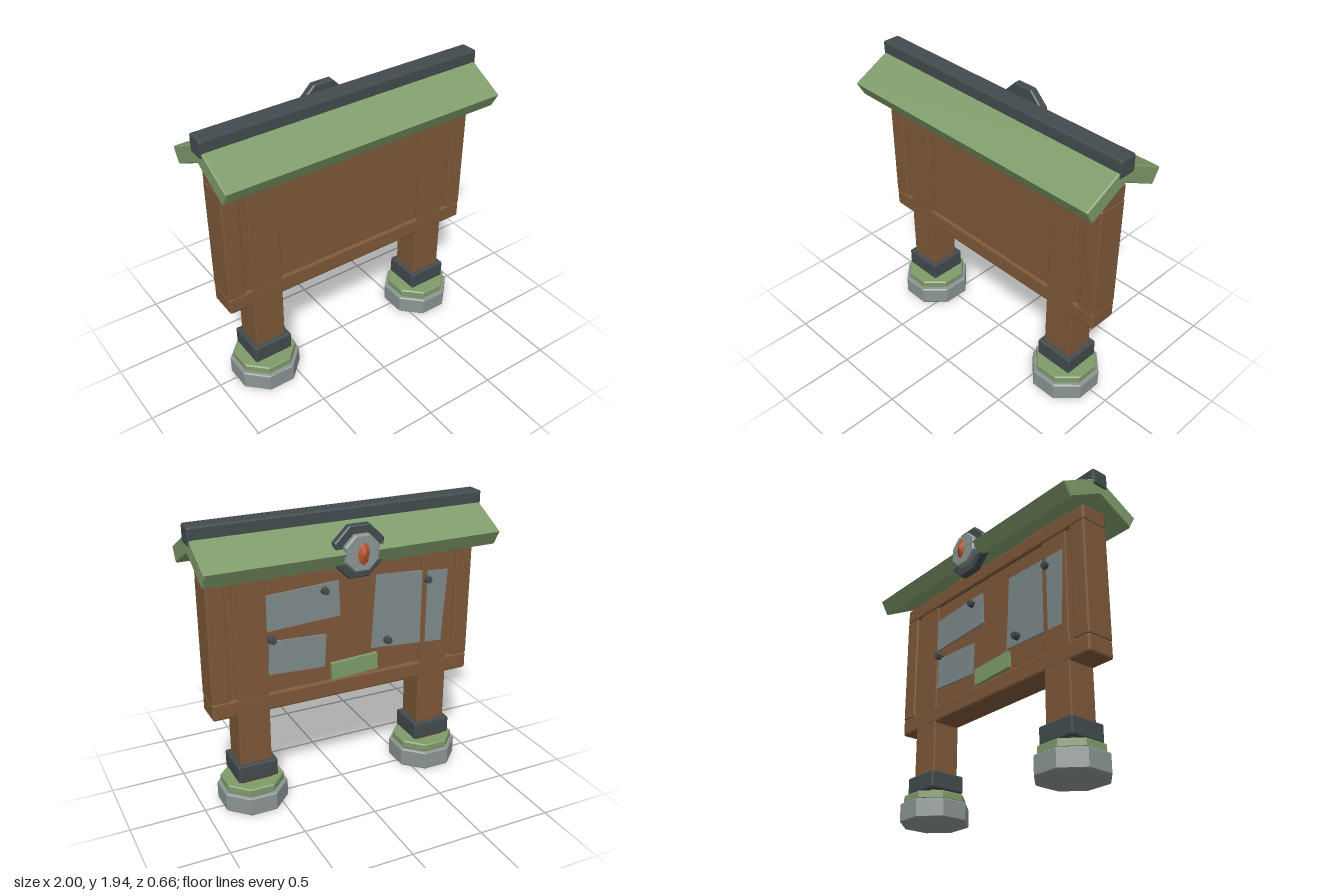
import * as THREE from 'three';
import { RoundedBoxGeometry } from 'three/addons/geometries/RoundedBoxGeometry.js';

const paint = (color) => new THREE.MeshStandardMaterial({ color, flatShading: true });

export function createModel() {
  const model = new THREE.Group();
  const wood = paint(0x7d5838), green = paint(0x7f9b6a), dark = paint(0x434b4e);
  const stone = paint(0x8b9593), paper = paint(0x7f8a8a), amber = paint(0xb5552b);
  const Z = 0.02; // middle plane of the board

  const add = (name, geometry, material, x, y, z) => {
    const mesh = new THREE.Mesh(geometry, material);
    mesh.name = name;
    mesh.position.set(x, y, z);
    model.add(mesh);
    return mesh;
  };
  const box = (name, w, h, d, material, x, y, z = Z, r = 0.01) =>
    add(name, new RoundedBoxGeometry(w, h, d, 1, r), material, x, y, z);

  // Eight-sided slab with softened rims; r is the distance to a flat side
  const octagon = (r, h, c = 0.008) => {
    const R = r / Math.cos(Math.PI / 8);
    const profile = [[0, 0], [R - c, 0], [R, c], [R, h - c], [R - c, h], [0, h]]
      .map(([x, y]) => new THREE.Vector2(x, y));
    return new THREE.LatheGeometry(profile, 8, Math.PI / 8);
  };

  // Legs with stone feet, and the framing at either side
  for (const s of [-1, 1]) {
    const x = s * 0.656;
    add('foot', octagon(0.217, 0.13), stone, x, 0, Z);
    add('footRing', octagon(0.196, 0.056), green, x, 0.13, Z);
    box('collar', 0.275, 0.12, 0.26, dark, x, 0.27);
    box('post', 0.215, 1.405, 0.198, wood, x, 0.873, Z, 0.006);
    box('sideStile', 0.12, 0.784, 0.2, wood, s * 0.868, 1.19);
    box('roofSupport', 0.16, 0.14, 0.11, wood, s * 0.42, 1.75);
  }

  // Rails and recessed board
  box('bottomRail', 1.856, 0.12, 0.2, wood, 0, 0.742, Z, 0.014);
  box('topRail', 1.856, 0.112, 0.2, wood, 0, 1.634, Z, 0.014);
  box('boardPanel', 1.66, 0.82, 0.16, wood, 0, 1.185, Z, 0.004);

  // Gabled roof: chevron section run along x
  const section = new THREE.Shape([
    [0, 1.882], [-0.305, 1.722], [-0.258, 1.638], [0, 1.773], [0.258, 1.638], [0.305, 1.722],
  ].map(([x, y]) => new THREE.Vector2(x, y)));
  const roof = new THREE.ExtrudeGeometry(section, {
    depth: 1.964, bevelThickness: 0.008, bevelSize: 0.006, bevelSegments: 1,
  });
  roof.translate(0, 0, -0.982);
  roof.rotateY(Math.PI / 2);
  add('roof', roof, green, 0, 0, Z);
  box('ridgeBeam', 1.996, 0.118, 0.122, dark, 0, 1.878, Z, 0.012);

  // Notices on the back: name, width, height, x, y, outer z, tilt, swing
  for (const [name, w, h, x, y, z, tilt, swing, material] of [
    ['wideNotice', 0.51, 0.235, 0.305, 1.352, -0.074, -0.05, 0, paper],
    ['smallNotice', 0.39, 0.225, 0.345, 1.03, -0.074, 0.05, 0, paper],
    ['largeNotice', 0.527, 0.51, -0.464, 1.207, -0.074, 0.06, -0.04, paper],
    ['greenTag', 0.335, 0.115, -0.057, 0.872, -0.086, -0.05, 0, green],
  ]) {
    const d = 0.026;
    const sheet = add(name, new THREE.BoxGeometry(w, h, d), material, x, y, z + d / 2);
    sheet.rotation.set(0, swing, tilt);
  }

  // Pins
  for (const [x, y] of [[0.157, 1.435], [0.52, 1.166], [-0.59, 1.394], [-0.3, 1.013]]) {
    const pin = add('pin', new THREE.CylinderGeometry(0.023, 0.028, 0.05, 8), dark, x, y, -0.084);
    pin.rotation.x = -Math.PI / 2;
  }

  // Round emblem on the rear eave
  const backFacing = (name, geometry, material, z) => {
    add(name, geometry, material, 0, 1.717, z).rotation.x = -Math.PI / 2;
  };
  backFacing('emblemDisc', octagon(0.166, 0.054), dark, -0.197);
  backFacing('emblemBoss', octagon(0.114, 0.045), stone, -0.247);
  const gem = new THREE.SphereGeometry(1, 8, 2);
  gem.scale(0.04, 0.024, 0.074);
  backFacing('emblemGem', gem, amber, -0.304);

  return model;
}
